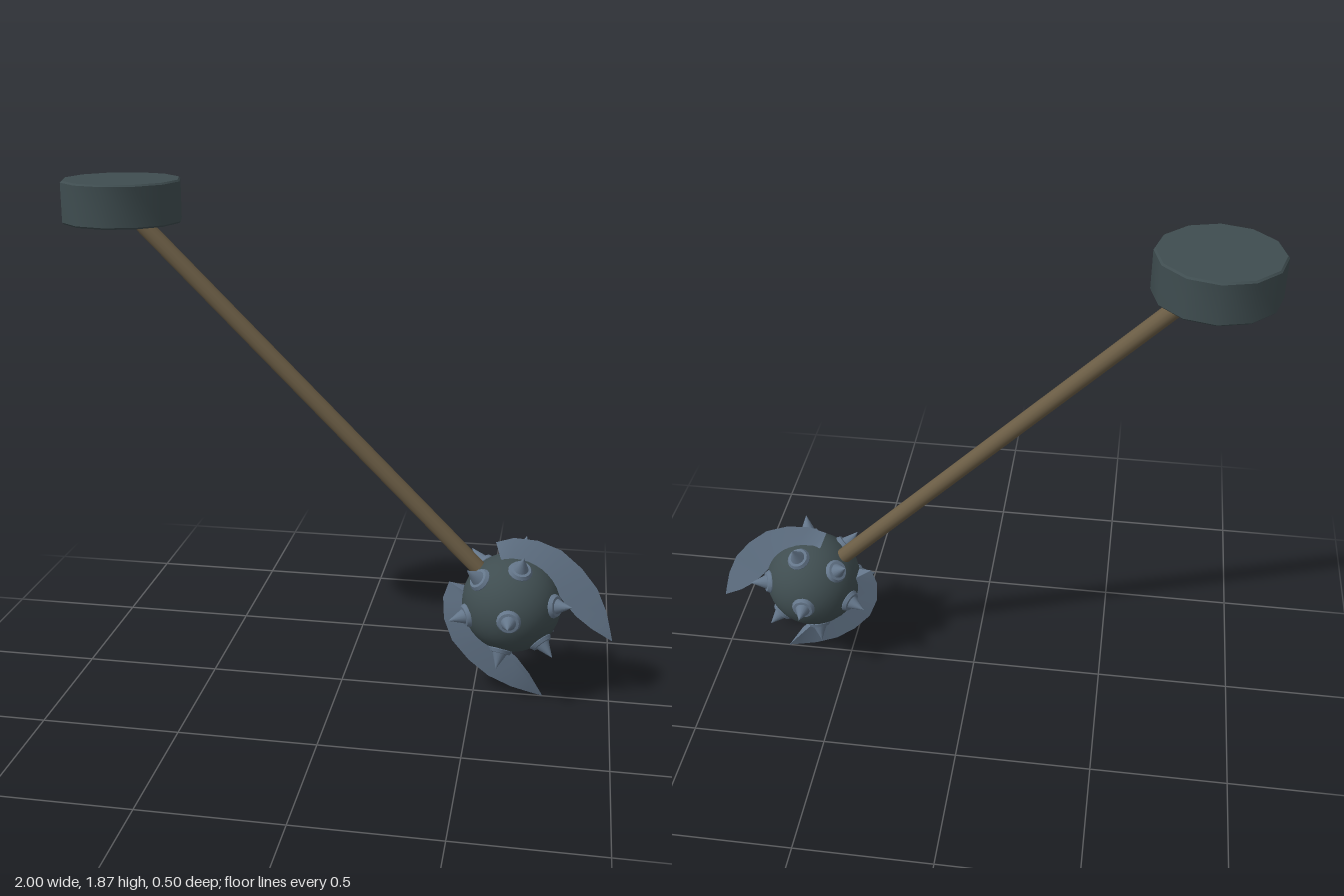
import * as THREE from 'three';
import { toCreasedNormals } from 'three/addons/utils/BufferGeometryUtils.js';

const darkIron = new THREE.MeshStandardMaterial({ color: 0x3f4d50 });
const steel = new THREE.MeshStandardMaterial({ color: 0x64768a });
const wood = new THREE.MeshStandardMaterial({ color: 0x6b5d45 });

function add(parent, name, geometry, material) {
  const mesh = new THREE.Mesh(geometry, material);
  mesh.name = name;
  parent.add(mesh);
  return mesh;
}

function lathe(points, sides, crease) {
  const profile = points.map(([r, y]) => new THREE.Vector2(r, y));
  return toCreasedNormals(new THREE.LatheGeometry(profile, sides), crease);
}

// Crescent blade: sharp outer edge, thick inner edge, tapering to a point.
// Each station is [outer x, outer y, inner x, inner y, half thickness], in hundredths.
function bladeGeometry() {
  const stations = [
    [-23, 6.4, -17.6, 4.3, 2.7],
    [-25.1, 0, -16, 0, 2.7],
    [-24.6, -8.6, -14, -6.4, 2.7],
    [-21.4, -17.1, -10.7, -11.8, 2.7],
    [-15, -24.6, -6.4, -16, 2.7],
    [-7.5, -30.5, -2.1, -19.3, 2.7],
    [1.1, -34.2, 2.7, -23.5, 2.7],
    [7.5, -35.8, 7.5, -29.4, 2.2],
    [12.8, -37, 12.8, -37, 0],
  ].map(([ox, oy, ix, iy, t]) => [[ox, oy, 0], [ix, iy, t], [ix, iy, -t]]);
  const pos = [];
  const quad = (a, b, c, d) => pos.push(...a, ...b, ...c, ...a, ...c, ...d);
  pos.push(...stations[0].flat());
  for (let i = 0; i < stations.length - 1; i++) {
    const [o, f, b] = stations[i];
    const [o2, f2, b2] = stations[i + 1];
    quad(o, o2, f2, f);
    quad(o2, o, b, b2);
    quad(f, f2, b2, b);
  }
  const geo = new THREE.BufferGeometry();
  geo.setAttribute('position', new THREE.Float32BufferAttribute(pos, 3));
  geo.scale(0.01, 0.01, 0.01);
  geo.rotateZ(-Math.PI / 4);
  return toCreasedNormals(geo, 0.5);
}

export function createModel() {
  const model = new THREE.Group();
  model.name = 'spikedMace';

  // Flat twelve-sided pommel disc, level at the upper end of the shaft
  const pommel = add(model, 'pommel', lathe(
    [[0, -0.075], [0.207, -0.075], [0.213, -0.069], [0.213, 0.069], [0.207, 0.075], [0, 0.075]],
    12, 0.6), darkIron);
  pommel.position.set(-0.787, 1.798, 0);

  // Head and shaft share a frame whose y axis runs up the shaft
  const weapon = new THREE.Group();
  weapon.name = 'weapon';
  weapon.position.set(0.63, 0.37, 0);
  weapon.rotation.z = Math.PI / 4;
  model.add(weapon);

  add(weapon, 'shaft', new THREE.CylinderGeometry(0.03, 0.03, 1.99, 12), wood).position.y = 0.995;
  add(weapon, 'headBall', new THREE.SphereGeometry(0.181, 32, 20), darkIron);

  // Spikes with collars: one on each side, plus a ring of six around each
  const spikeGeo = lathe(
    [[0.043, 0.16], [0.044, 0.178], [0.037, 0.19], [0.027, 0.191], [0, 0.25]], 16, 0.5);
  const up = new THREE.Vector3(0, 1, 0);
  const tilt = Math.atan(0.5);
  for (const side of [1, -1]) {
    const directions = [new THREE.Vector3(0, 0, side)];
    for (const degrees of [90, 34, -34, -90, -146, 146]) {
      const a = THREE.MathUtils.degToRad(degrees);
      directions.push(new THREE.Vector3(
        Math.cos(a) * Math.cos(tilt), Math.sin(a) * Math.cos(tilt), side * Math.sin(tilt)));
    }
    for (const d of directions) {
      add(weapon, 'spike', spikeGeo, steel).quaternion.setFromUnitVectors(up, d);
    }
  }

  // Pair of blades, the second turned half way round the shaft
  const bladeGeo = bladeGeometry();
  add(weapon, 'lowerBlade', bladeGeo, steel);
  add(weapon, 'upperBlade', bladeGeo, steel).rotation.y = Math.PI;

  return model;
}
